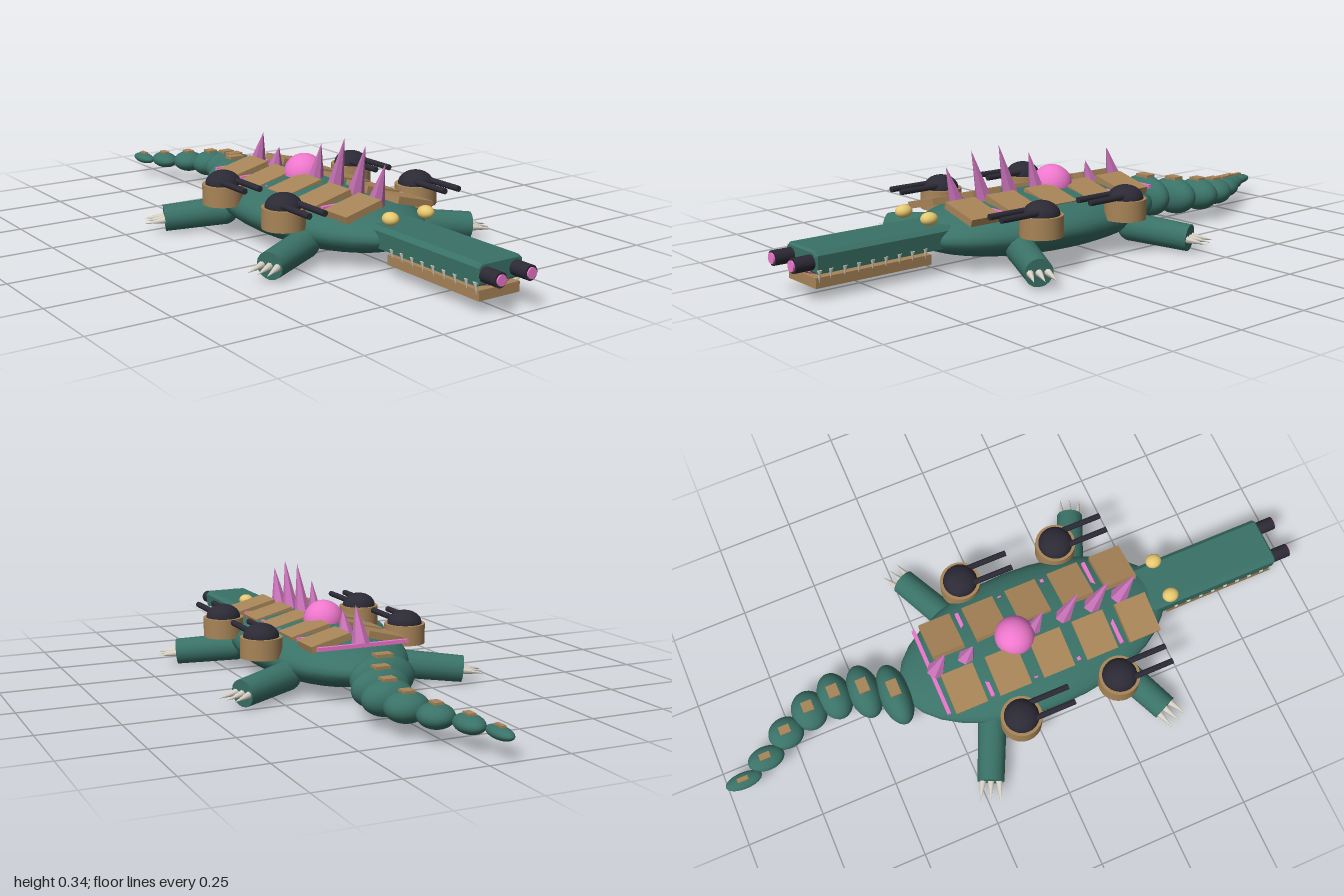
import * as THREE from 'three';

const mat = (color) => new THREE.MeshStandardMaterial({ color });
const flat = (color) => { const m = mat(color); m.flatShading = true; return m; };
const UP = new THREE.Vector3(0, 1, 0);
const V = (x, y, z) => new THREE.Vector3(x, y, z);

export function createModel() {
  const root = new THREE.Group();
  const green = mat(0x3a7267), tan = mat(0xa88558), dark = mat(0x2b2a35), spinePink = flat(0xc872b8);
  const pink = mat(0xee77cc), yellow = mat(0xe6c870), bone = mat(0xd8d2c6);

  const add = (name, geo, m, x, y, z, parent = root) => {
    const mesh = new THREE.Mesh(geo, m);
    mesh.name = name;
    mesh.position.set(x, y, z);
    parent.add(mesh);
    return mesh;
  };
  const ball = (name, m, x, y, z, rx, ry, rz, parent) => {
    const b = add(name, new THREE.SphereGeometry(1, 32, 20), m, x, y, z, parent);
    b.scale.set(rx, ry, rz);
    return b;
  };
  const box = (name, m, w, h, d, x, y, z, parent) => add(name, new THREE.BoxGeometry(w, h, d), m, x, y, z, parent);
  // tapered rod from point a to point b
  const rod = (name, m, a, b, ra, rb, seg = 16, parent = root) => {
    const d = b.clone().sub(a);
    const c = a.clone().add(b).multiplyScalar(0.5);
    const r = add(name, new THREE.CylinderGeometry(rb, ra, d.length(), seg), m, c.x, c.y, c.z, parent);
    r.quaternion.setFromUnitVectors(UP, d.normalize());
    return r;
  };

  ball('body', green, 0, 0.097, 0.09, 0.245, 0.095, 0.46);

  // Snout: chamfered cross-section, extruded forward
  const s = new THREE.Shape();
  s.moveTo(-0.073, 0.082);
  s.lineTo(0.073, 0.082);
  s.lineTo(0.076, 0.126);
  s.lineTo(0.066, 0.135);
  s.lineTo(-0.066, 0.135);
  s.lineTo(-0.076, 0.126);
  s.closePath();
  const snout = new THREE.ExtrudeGeometry(s, {
    depth: 0.47, bevelEnabled: true, bevelThickness: 0.006, bevelSize: 0.006, bevelSegments: 1,
  });
  add('upperJaw', snout, green, 0, 0, 0.46);
  box('lowerJaw', tan, 0.146, 0.03, 0.385, 0, 0.05, 0.7425);
  ball('tongue', pink, 0, 0.077, 0.91, 0.055, 0.013, 0.03);

  for (const sx of [-1, 1]) {
    ball('eye', yellow, sx * 0.065, 0.17, 0.55, 0.024, 0.02, 0.027);
    // snout cannons
    rod('snoutCannon', dark, V(sx * 0.054, 0.107, 0.88), V(sx * 0.054, 0.107, 0.995), 0.022, 0.022, 20);
    rod('cannonGlow', pink, V(sx * 0.054, 0.107, 0.99), V(sx * 0.054, 0.107, 1), 0.016, 0.016, 20);
    // teeth along the jaw, longest at the front
    for (let i = 0; i < 8; i++) {
      const z = 0.575 + i * 0.045;
      rod('tooth', bone, V(sx * 0.077, 0.088, z), V(sx * 0.077, 0.058, z), 0.008, 0, 8);
    }
    rod('fang', bone, V(sx * 0.077, 0.088, 0.925), V(sx * 0.074, 0.05, 0.925), 0.008, 0, 8);

    // Legs splayed outwards, with three claws each
    for (const [z0, sz, name] of [[0.315, 1, 'frontLeg'], [-0.14, -1, 'hindLeg']]) {
      const leg = new THREE.Group();
      leg.name = name;
      root.add(leg);
      const a = V(sx * 0.2, 0.062, z0), b = V(sx * 0.375, 0.045, z0 + sz * 0.08);
      const dir = b.clone().sub(a).normalize();
      ball('shoulder', green, a.x, a.y, a.z, 0.046, 0.046, 0.046, leg);
      rod('limb', green, a, b, 0.046, 0.043, 16, leg);
      for (const k of [-1, 0, 1]) {
        const side = V(-dir.z, 0, dir.x).normalize().multiplyScalar(k * 0.026);
        const p = b.clone().add(side).addScaledVector(dir, -0.005);
        const tip = p.clone().addScaledVector(dir, 0.072).addScaledVector(side, 0.25);
        tip.y -= 0.002;
        rod('claw', bone, p, tip, 0.012, 0, 8, leg);
      }
    }

    // Gun turrets on the flanks
    for (const z of [-0.06, 0.28]) {
      const turret = new THREE.Group();
      turret.name = 'turret';
      turret.position.set(sx * 0.25, 0, z);
      root.add(turret);
      add('turretBase', new THREE.CylinderGeometry(0.066, 0.066, 0.064, 28), tan, 0, 0.143, 0, turret);
      ball('turretDome', dark, 0, 0.175, 0, 0.056, 0.042, 0.056, turret);
      for (const k of [-1, 1]) {
        rod('gunBarrel', dark, V(k * 0.027, 0.188, 0), V(k * 0.027, 0.188, 0.172), 0.0095, 0.0095, 12, turret);
      }
    }

    // Sloping back armour
    for (let i = 0; i < 5; i++) {
      const plate = box('backPlate', tan, 0.133, 0.022, 0.108, sx * 0.095, 0.176, -0.19 + i * 0.151);
      plate.rotation.z = -sx * 0.25;
    }
  }

  // Glowing seams between the plates
  for (let i = 0; i < 5; i++) box('seam', pink, 0.304, 0.012, 0.012, 0, 0.166, -0.265 + i * 0.15);

  // Spines: base z, tip z, tip height
  for (const [z, tz, ty] of [[0.395, 0.44, 0.3], [0.293, 0.345, 0.338], [0.19, 0.24, 0.343],
    [0.085, 0.12, 0.305], [-0.145, -0.118, 0.25], [-0.25, -0.212, 0.282]]) {
    rod('spine', spinePink, V(0, 0.165, z), V(0, ty, tz), 0.03, 0, 6);
  }
  ball('backDome', pink, 0, 0.19, 0.025, 0.065, 0.065, 0.065);

  // Tail segments: x, y, z, half width, half height, half length
  [[0, 0.094, -0.395, 0.105, 0.07, 0.052], [0.05, 0.09, -0.482, 0.092, 0.062, 0.053],
    [0.075, 0.086, -0.575, 0.08, 0.054, 0.055], [0.064, 0.081, -0.668, 0.067, 0.045, 0.058],
    [0.025, 0.076, -0.762, 0.053, 0.036, 0.058], [-0.027, 0.071, -0.85, 0.04, 0.027, 0.06],
    [-0.066, 0.066, -0.94, 0.027, 0.018, 0.06]].forEach(([x, y, z, rx, ry, rz]) => {
    ball('tailSegment', green, x, y, z, rx, ry, rz);
    box('tailPlate', tan, rx * 0.52, 0.014, 0.036, x, y + ry - 0.002, z);
  });
  return root;
}
